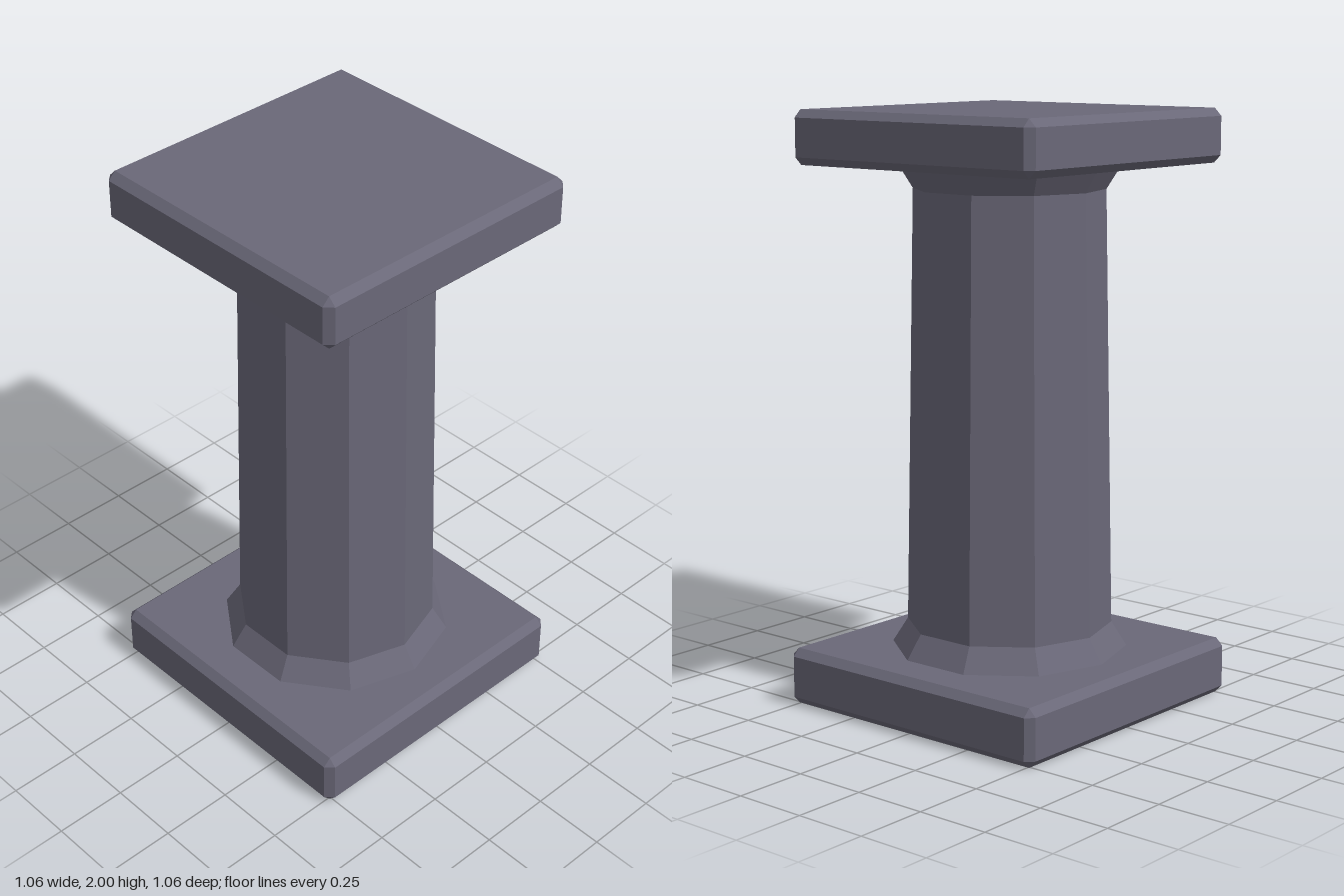
import * as THREE from 'three';
import { ConvexGeometry } from 'three/addons/geometries/ConvexGeometry.js';

const stone = new THREE.MeshStandardMaterial({ color: 0x6a6878 });
stone.name = 'grey stone';

// Square slab with every edge and corner chamfered
function slab(name, half, bottom, top, bevel) {
  const h = (top - bottom) / 2;
  const points = [];
  for (const x of [-1, 1]) for (const y of [-1, 1]) for (const z of [-1, 1]) {
    for (let face = 0; face < 3; face++) {
      const inset = [0, 1, 2].map((axis) => (axis === face ? 0 : bevel));
      points.push(new THREE.Vector3(x * (half - inset[0]), y * (h - inset[1]), z * (half - inset[2])));
    }
  }
  const mesh = new THREE.Mesh(new ConvexGeometry(points), stone);
  mesh.name = name;
  mesh.position.y = (bottom + top) / 2;
  return mesh;
}

// Ten-sided ring of facets between two radii
function facetedRing(name, r0, y0, r1, y1) {
  const profile = [new THREE.Vector2(r0, y0), new THREE.Vector2(r1, y1)];
  const geometry = new THREE.LatheGeometry(profile, 10, Math.PI / 2).toNonIndexed();
  geometry.computeVertexNormals();
  const mesh = new THREE.Mesh(geometry, stone);
  mesh.name = name;
  return mesh;
}

export function createModel() {
  const pillar = new THREE.Group();
  pillar.name = 'pillar';
  pillar.add(
    slab('base', 0.531, 0, 0.193, 0.026),
    facetedRing('lowerFlare', 0.4, 0.19, 0.347, 0.275),
    facetedRing('shaft', 0.347, 0.275, 0.319, 1.74),
    facetedRing('upperFlare', 0.319, 1.74, 0.372, 1.825),
    slab('capital', 0.506, 1.82, 2, 0.026),
  );
  return pillar;
}
